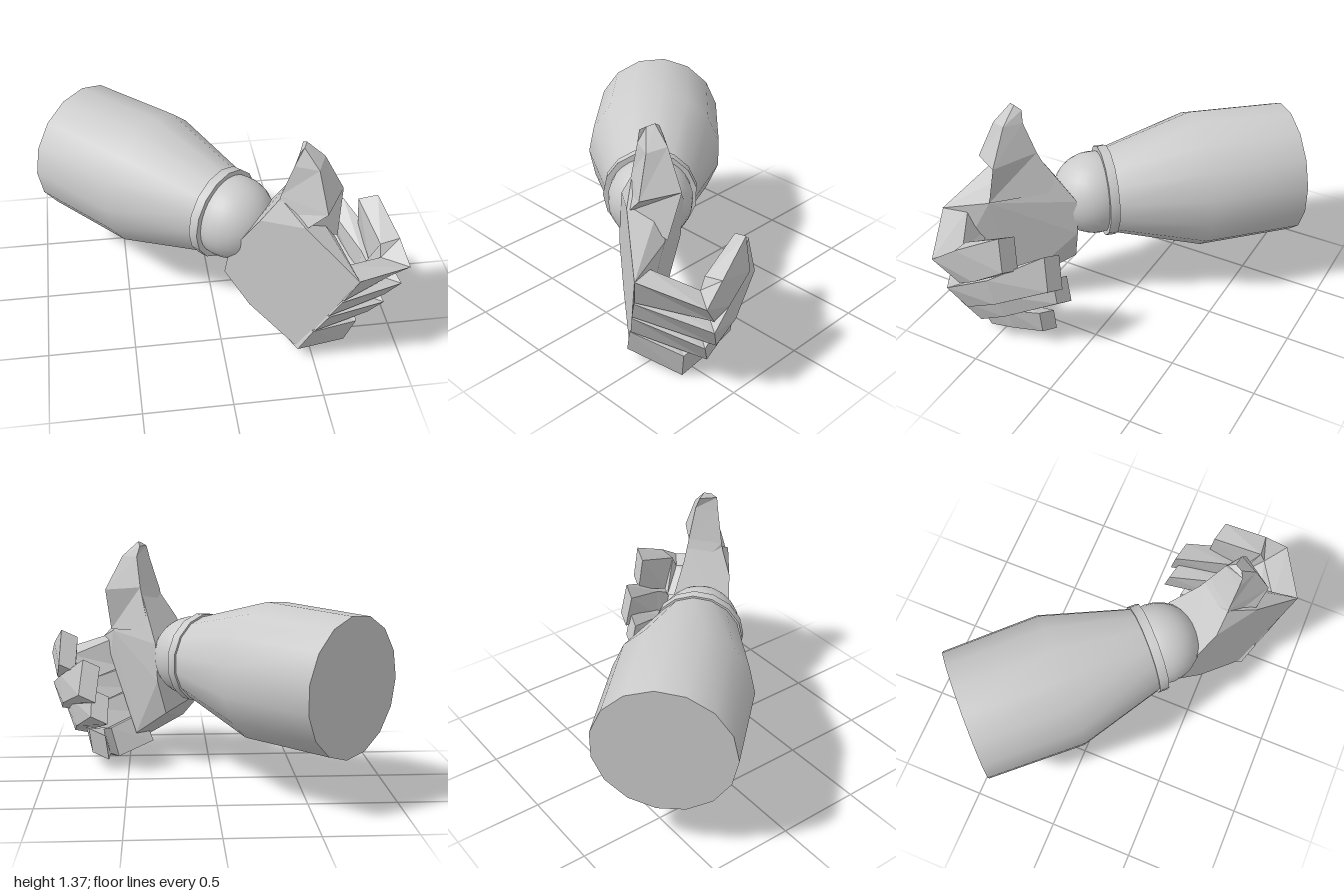
import * as THREE from 'three';
import { ConvexGeometry } from 'three/addons/geometries/ConvexGeometry.js';
import { toCreasedNormals } from 'three/addons/utils/BufferGeometryUtils.js';

const V = (x, y, z) => new THREE.Vector3(x, y, z);
const flat = new THREE.MeshStandardMaterial({ color: 0xcccccc, flatShading: true });
const smooth = new THREE.MeshStandardMaterial({ color: 0xcccccc });

// Closed solid lofted through four-cornered rings
function loft(rings) {
  const pos = [];
  const quad = (a, b, c, d) => [a, b, c, a, c, d].forEach((p) => pos.push(p.x, p.y, p.z));
  // Turn the rings so that every face points outward
  const [a, b, c, d] = rings[0];
  const normal = c.clone().sub(a).cross(d.clone().sub(b));
  const middle = (r) => r.reduce((s, p) => s.add(p), V(0, 0, 0)).divideScalar(4);
  const along = middle(rings[1]).sub(middle(rings[0]));
  const rs = normal.dot(along) > 0 ? rings : rings.map((r) => [...r].reverse());
  for (let i = 0; i < rs.length - 1; i++) {
    for (let j = 0; j < 4; j++) {
      const k = (j + 1) % 4;
      quad(rs[i][j], rs[i][k], rs[i + 1][k], rs[i + 1][j]);
    }
  }
  const end = rs[rs.length - 1];
  quad(rs[0][3], rs[0][2], rs[0][1], rs[0][0]);
  quad(end[0], end[1], end[2], end[3]);
  const geo = new THREE.BufferGeometry();
  geo.setAttribute('position', new THREE.Float32BufferAttribute(pos, 3));
  geo.computeVertexNormals();
  return geo;
}

function add(parent, name, geo, mat) {
  const mesh = new THREE.Mesh(geo, mat);
  mesh.name = name;
  parent.add(mesh);
  return mesh;
}

// Outer edge of each finger: [upper corner, lower corner] at knuckle, two joints and tip
const fingers = {
  indexFinger: [
    [V(0.67, 0.72, 0.885), V(0.61, 0.545, 0.835)],
    [V(1.0, 0.64, 0.72), V(0.94, 0.48, 0.6)],
    [V(0.97, 0.73, 0.58), V(0.95, 0.53, 0.5)],
    [V(0.9, 0.85, 0.335), V(0.92, 0.64, 0.315)],
  ],
  middleFinger: [
    [V(0.605, 0.535, 0.835), V(0.55, 0.41, 0.8)],
    [V(0.99, 0.46, 0.65), V(0.93, 0.31, 0.57)],
    [V(0.92, 0.55, 0.42), V(0.91, 0.38, 0.4)],
    [V(0.76, 0.7, 0.15), V(0.79, 0.49, 0.12)],
  ],
  ringFinger: [
    [V(0.55, 0.4, 0.8), V(0.49, 0.26, 0.755)],
    [V(0.91, 0.31, 0.63), V(0.85, 0.165, 0.55)],
    [V(0.86, 0.4, 0.42), V(0.83, 0.23, 0.4)],
    [V(0.71, 0.52, 0.14), V(0.72, 0.36, 0.11)],
  ],
  littleFinger: [
    [V(0.48, 0.255, 0.755), V(0.41, 0.08, 0.71)],
    [V(0.76, 0.18, 0.63), V(0.71, 0.003, 0.59)],
    [V(0.77, 0.22, 0.42), V(0.73, 0.06, 0.42)],
    [V(0.74, 0.26, 0.22), V(0.72, 0.11, 0.22)],
  ],
};
// Step from the outer to the inner side at each station
const inward = [V(-0.06, 0, -0.13), V(-0.14, 0, -0.1), V(-0.11, -0.02, 0.01), V(-0.1, -0.04, -0.03)];

export function createModel() {
  const model = new THREE.Group();
  model.name = 'thumbsUpArm';

  // Forearm with a raised cuff, turned around a slanted axis
  const profile = [
    [0, 0], [0.39, 0], [0.402, 0.576], [0.255, 1.085], [0.267, 1.085],
    [0.267, 1.14], [0.24, 1.14], [0, 1.12],
  ].map(([r, h]) => new THREE.Vector2(r, h));
  const forearm = add(model, 'forearm', toCreasedNormals(new THREE.LatheGeometry(profile, 15), 0.55), smooth);
  const axis = V(0.785, 0.02, 0.83).normalize();
  const side = V(-0.727, 0, 0.687);
  side.addScaledVector(axis, -side.dot(axis)).normalize();
  const basis = new THREE.Matrix4().makeBasis(axis.clone().cross(side), axis, side);
  forearm.quaternion.setFromRotationMatrix(basis);
  forearm.position.set(-0.715, 0.68, -0.625);

  // Wrist ball
  add(model, 'wrist', new THREE.SphereGeometry(0.24, 24, 16), smooth).position.set(0.1, 0.7, 0.23);

  // Palm: flat back of the hand, with a wedge-shaped inner side
  const back = [[0.03, 0.45], [0.05, 0.6], [0.2, 0.9], [0.41, 0.95], [0.67, 0.72], [0.41, 0.08], [0.16, 0.27]]
    .map(([x, y]) => V(x, y, 0.385 + 0.75 * x));
  const inner = [
    V(0.3, 1.05, 0.55), V(0.41, 1.06, 0.38), V(0.33, 0.78, 0.2), V(0.32, 0.55, 0.21),
    V(0.27, 0.34, 0.26), V(0.46, 0.14, 0.55), V(0.6, 0.8, 0.61), V(0.62, 0.62, 0.7),
  ];
  add(model, 'palm', new ConvexGeometry([...back, ...inner]), flat);

  // Raised thumb
  add(model, 'thumb', loft([
    [V(0.28, 0.95, 0.56), V(0.41, 0.93, 0.68), V(0.61, 0.81, 0.6), V(0.37, 0.85, 0.28)],
    [V(0.3, 1.07, 0.55), V(0.52, 1.04, 0.71), V(0.64, 1.07, 0.53), V(0.42, 1.1, 0.39)],
    [V(0.36, 1.26, 0.565), V(0.48, 1.26, 0.62), V(0.53, 1.28, 0.52), V(0.44, 1.28, 0.455)],
    [V(0.38, 1.34, 0.57), V(0.41, 1.36, 0.55), V(0.43, 1.37, 0.51), V(0.42, 1.345, 0.47)],
  ]), flat);

  // Curled fingers
  for (const [name, stations] of Object.entries(fingers)) {
    const rings = stations.map(([top, low], i) => [
      top, low, low.clone().add(inward[i]), top.clone().add(inward[i]),
    ]);
    add(model, name, loft(rings), flat);
  }
  return model;
}
